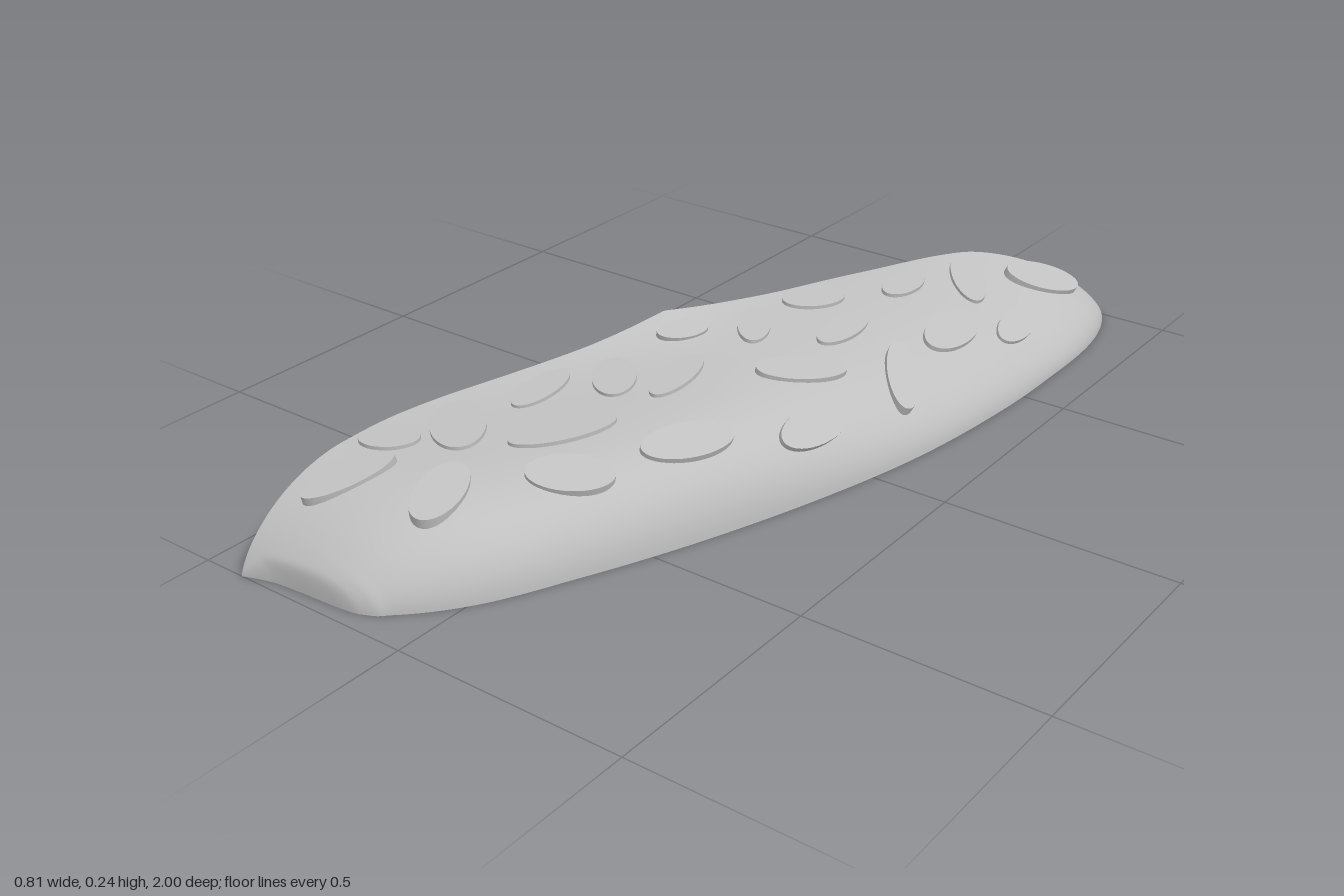
import * as THREE from 'three';
import { toCreasedNormals } from 'three/addons/utils/BufferGeometryUtils.js';

// Smooth 1-D curve through [z, value] pairs
function curve(pairs) {
  const it = new THREE.CubicInterpolant(
    new Float32Array(pairs.map(p => p[0])), new Float32Array(pairs.map(p => p[1])), 1);
  return z => it.evaluate(z)[0];
}

// Plan outline: upright wall on one side, rounded side on the other
const wallX = curve([[-1, 0.34], [-0.85, 0.197], [-0.757, 0.11], [-0.68, 0.064], [-0.6, 0.03], [-0.53, 0.004],
  [-0.4, -0.045], [-0.2, -0.105], [0, -0.165], [0.2, -0.24], [0.3, -0.285], [0.4, -0.33], [0.5, -0.37],
  [0.6, -0.397], [0.66, -0.404], [0.8, -0.405], [1, -0.405]]);
const roundX = curve([[-1, 0.34], [-0.97, 0.358], [-0.9, 0.383], [-0.8, 0.4], [-0.6, 0.404], [-0.45, 0.4],
  [-0.15, 0.365], [0.1, 0.305], [0.41, 0.2], [0.64, 0.1], [0.83, 0], [0.93, -0.09], [0.955, -0.125],
  [0.968, -0.18], [0.972, -0.25], [0.977, -0.32], [0.985, -0.36], [1, -0.405]]);
// Crown height, and fullness of the cross-section, along the length
const crown = curve([[-1, 0.175], [-0.7, 0.187], [-0.3, 0.195], [0, 0.2], [0.2, 0.188], [0.4, 0.175],
  [0.6, 0.165], [0.8, 0.16], [1, 0.16]]);
const fullness = curve([[-1, 1], [-0.8, 1.05], [-0.6, 1.35], [-0.4, 1.9], [-0.2, 2.3], [0, 3.2], [0.1, 4.1],
  [0.25, 5.8], [0.4, 7], [0.6, 6], [0.8, 4.5], [1, 4]]);

// Height of the domed surface; u runs from the wall (0) to the rounded edge (1)
function heightAt(u, z) {
  const e = Math.min(1, Math.max(0, (1 - Math.abs(z)) / 0.27));
  const end = Math.pow(1 - (1 - e) ** 2, 0.7);
  const ridge = 0.046 * Math.exp(-Math.abs(z - 0.03) / 0.23);
  return end * (crown(z) * Math.sqrt(Math.max(0, 1 - Math.pow(u, fullness(z)))) + ridge * (1 - u) ** 7);
}
const heightXZ = (x, z) =>
  heightAt(Math.min(1, Math.max(0, (x - wallX(z)) / (roundX(z) - wallX(z)))), z);

const ROWS = 200;
const rowZ = i => -Math.cos(Math.PI * i / ROWS);

// Grid surface from cross-sections along z
function grid(point, cols) {
  const pos = [], idx = [];
  for (let i = 0; i <= ROWS; i++) {
    for (let j = 0; j <= cols; j++) {
      pos.push(...point(rowZ(i), j / cols));
      if (i < ROWS && j < cols) {
        const a = i * (cols + 1) + j, b = a + cols + 1;
        idx.push(a, b, a + 1, b, b + 1, a + 1);
      }
    }
  }
  const g = new THREE.BufferGeometry();
  g.setAttribute('position', new THREE.Float32BufferAttribute(pos, 3));
  g.setIndex(idx);
  g.computeVertexNormals();
  return g;
}

// Sockets in the underside: x, z, mouth radius, depth
const sockets = [[0.29, -0.45, 0.076, 0.055], [0.088, 0.138, 0.062, 0.05], [-0.168, 0.71, 0.076, 0.07]];

// Raised oval studs: x, z, half length, half width, long direction x, z
const studs = [
  [0.26, -0.83, 0.1, 0.05, 0.5, -0.85], [0.165, -0.65, 0.09, 0.04, 0.65, 0.75],
  [0.315, -0.61, 0.083, 0.035, 0.1, 1], [0.085, -0.5, 0.072, 0.035, 0, 1],
  [0.25, -0.435, 0.1, 0.047, 0.05, 1], [-0.015, -0.29, 0.075, 0.042, 0.45, -0.9],
  [0.105, -0.225, 0.09, 0.034, 0.03, 1], [0.27, -0.2, 0.1, 0.037, 0.6, 0.8],
  [-0.03, -0.09, 0.075, 0.035, 0.5, 0.85], [0.14, -0.02, 0.1, 0.042, 0.55, -0.8],
  [-0.12, 0.04, 0.057, 0.028, 0.5, -0.85], [0.245, 0.085, 0.095, 0.042, 0.15, -1],
  [-0.03, 0.175, 0.088, 0.035, 0.1, 1], [-0.13, 0.25, 0.07, 0.045, 0.6, 0.8],
  [-0.225, 0.365, 0.08, 0.035, 0, 1], [0.12, 0.335, 0.098, 0.045, 0.45, -0.9],
  [-0.085, 0.46, 0.11, 0.042, 0.5, -0.85], [-0.265, 0.56, 0.09, 0.055, 0.7, 0.7],
  [0.015, 0.555, 0.085, 0.048, 0.75, -0.65], [-0.34, 0.67, 0.06, 0.042, 0.8, -0.6],
  [-0.31, 0.805, 0.095, 0.035, 0.4, -0.9], [-0.13, 0.75, 0.085, 0.047, 0.3, 0.95],
];

export function createModel() {
  const model = new THREE.Group();
  model.name = 'studdedGrip';
  const grey = new THREE.MeshStandardMaterial({ color: 0xc0c0c0 });
  grey.name = 'grey';
  const add = (geometry, name, parent = model) => {
    const mesh = new THREE.Mesh(geometry, grey);
    mesh.name = name;
    parent.add(mesh);
    return mesh;
  };

  // Domed top and upright side wall
  add(grid((z, t) => {
    const u = Math.sin(t * Math.PI / 2);
    return [THREE.MathUtils.lerp(wallX(z), roundX(z), u), heightAt(u, z), z];
  }, 36), 'domedTop');
  add(grid((z, t) => [wallX(z), t * heightAt(0, z), z], 1), 'sideWall');

  // Flat underside with round openings (shape y becomes z)
  const outline = [];
  for (let i = 0; i <= ROWS; i++) outline.push(new THREE.Vector2(roundX(rowZ(i)), rowZ(i)));
  for (let i = ROWS - 1; i > 0; i--) outline.push(new THREE.Vector2(wallX(rowZ(i)), rowZ(i)));
  const base = new THREE.Shape(outline);
  for (const [x, z, r] of sockets) {
    base.holes.push(new THREE.Path().absarc(x, z, r, 0, Math.PI * 2, true));
  }
  add(new THREE.ShapeGeometry(base, 20).rotateX(Math.PI / 2), 'underside');

  // Blind sockets with a bevelled mouth
  for (const [x, z, r, depth] of sockets) {
    const inner = r - 0.015;
    const profile = [[0, depth], [inner, depth], [inner, 0.015], [r, 0]].map(p => new THREE.Vector2(...p));
    add(toCreasedNormals(new THREE.LatheGeometry(profile, 40), 0.5), 'socket').position.set(x, 0, z);
  }

  // Studs lie flat against the dome
  const studGroup = new THREE.Group();
  studGroup.name = 'studs';
  model.add(studGroup);
  const disc = new THREE.CylinderGeometry(1, 1, 1, 40);
  const d = 0.03;
  for (const [x, z, a, b, dx, dz] of studs) {
    const normal = new THREE.Vector3(
      heightXZ(x - d, z) - heightXZ(x + d, z), 2 * d, heightXZ(x, z - d) - heightXZ(x, z + d)).normalize();
    const long = new THREE.Vector3(dx, 0, dz);
    long.y = -(normal.x * dx + normal.z * dz) / normal.y;
    long.normalize();
    const side = new THREE.Vector3().crossVectors(long, normal);
    const stud = add(disc, 'stud', studGroup);
    stud.quaternion.setFromRotationMatrix(new THREE.Matrix4().makeBasis(long, normal, side));
    stud.scale.set(a, 0.028, b);
    stud.position.set(x, heightXZ(x, z), z).addScaledVector(normal, -0.006);
  }
  return model;
}
